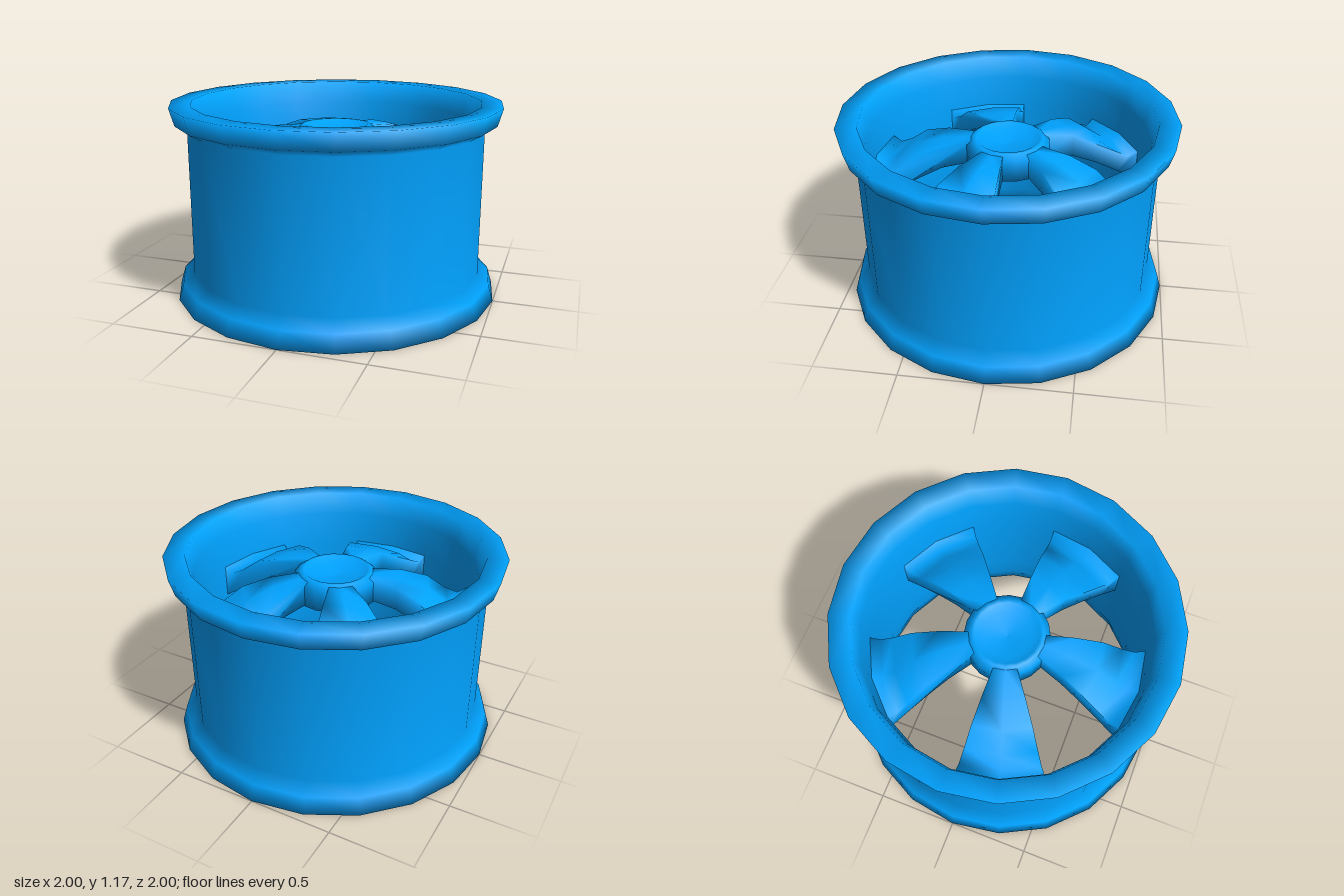
import * as THREE from 'three';
import { mergeGeometries, mergeVertices } from 'three/addons/utils/BufferGeometryUtils.js';

const SIDES = 20;          // facets around the wheel
const HALF = Math.PI / 10; // half the angle covered by one spoke
const pts = (list) => list.map(([r, y]) => new THREE.Vector2(r, y));

// Welds several surfaces into one with smooth shared normals
function weld(parts) {
  const merged = mergeGeometries(parts);
  merged.deleteAttribute('normal');
  merged.deleteAttribute('uv');
  const welded = mergeVertices(merged, 1e-3);
  welded.computeVertexNormals();
  return welded;
}

// Spoke centred on +z: arched top, sloping underside, flat radial sides
function spokeGeometry() {
  const top = [
    [0.83, 0.85], [0.76, 0.82], [0.68, 0.86], [0.56, 0.95],
    [0.4, 1.0], [0.22, 1.02],
  ];
  const under = [[0.22, 0.88], [0.4, 0.86], [0.55, 0.8], [0.7, 0.72], [0.83, 0.64]];
  const sector = (profile) => new THREE.LatheGeometry(pts(profile), 2, -HALF, 2 * HALF);
  const side = (s) => {
    const outline = [...under, ...top].map(([r, y]) => [-s * r, y]);
    return new THREE.ShapeGeometry(new THREE.Shape(pts(outline)))
      .rotateY(s * (HALF + Math.PI / 2));
  };
  return weld([sector(top), sector(under), side(1), side(-1)]);
}

export function createModel() {
  const model = new THREE.Group();
  model.name = 'wheelRim';
  const material = new THREE.MeshStandardMaterial({ color: 0x00a2ff });

  const add = (name, geometry) => {
    const mesh = new THREE.Mesh(geometry, material);
    mesh.name = name;
    model.add(mesh);
    return mesh;
  };

  // Barrel with a flared lip at each end: a closed section, outside going up
  const barrel = [
    [0.82, 0.6], [0.82, 0.32], [0.845, 0.13], [0.875, 0], [1, 0],
    [0.97, 0.1], [0.9, 0.16], [0.9, 1.03], [0.97, 1.07], [1, 1.175],
    [0.875, 1.175], [0.845, 1.04], [0.82, 0.85], [0.82, 0.6],
  ];
  add('barrel', new THREE.LatheGeometry(pts(barrel), SIDES));

  // Hub with a shallow dish in its top
  const hub = [
    [0, 0.87], [0.25, 0.87], [0.25, 1.0], [0.21, 1.03],
    [0.19, 1.03], [0.14, 1.0], [0, 0.985],
  ];
  add('hub', new THREE.LatheGeometry(pts(hub), SIDES));

  // Five spokes
  const spoke = spokeGeometry();
  for (let i = 0; i < 5; i++) {
    add('spoke' + (i + 1), spoke).rotation.y = (i * 2 * Math.PI) / 5;
  }
  return model;
}
